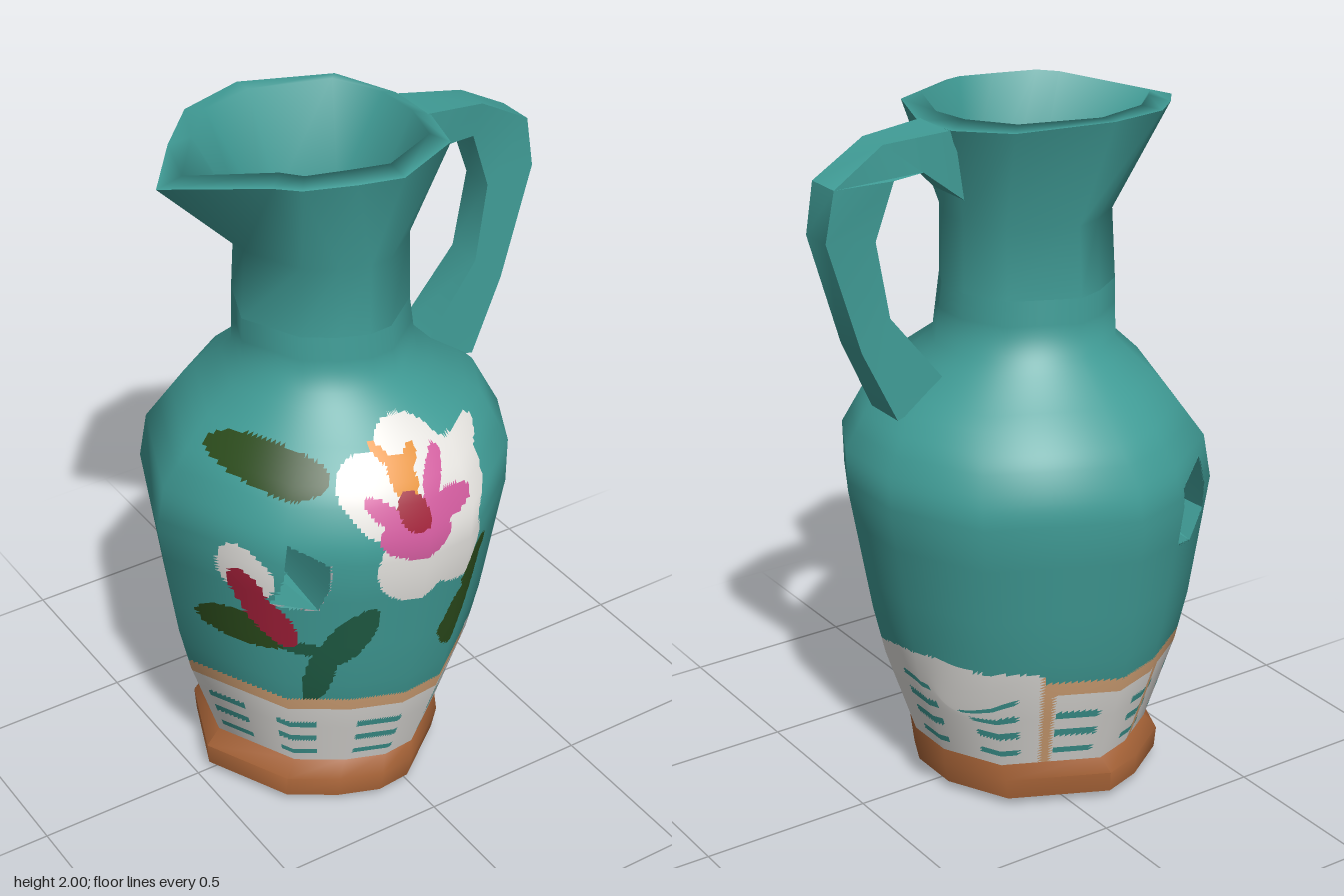
import * as THREE from 'three';
import { toCreasedNormals } from 'three/addons/utils/BufferGeometryUtils.js';

const mat = (name, color) => Object.assign(new THREE.MeshStandardMaterial({ color }), { name });

// Skin closed rings of [x, y, z] points; paint(centre) picks a material index, -1 leaves a gap
function loft(rings, paint) {
  const n = rings[0].length, pos = rings.flat(2), buckets = [];
  const tri = (...ids) => {
    const c = [0, 1, 2].map(k => ids.reduce((s, i) => s + pos[i * 3 + k], 0) / 3);
    const m = paint ? paint(c) : 0;
    if (m >= 0) (buckets[m] ??= []).push(...ids);
  };
  for (let i = 0; i < rings.length - 1; i++) {
    for (let j = 0; j < n; j++) {
      const a = i * n + j, b = i * n + (j + 1) % n;
      tri(a, a + n, b);
      tri(b, a + n, b + n);
    }
  }
  const g = new THREE.BufferGeometry();
  const index = [];
  buckets.forEach((ids, m) => {
    if (paint) g.addGroup(index.length, ids.length, m);
    for (const i of ids) index.push(i);
  });
  g.setAttribute('position', new THREE.Float32BufferAttribute(pos, 3));
  g.setIndex(index);
  g.computeVertexNormals();
  return g;
}

// Body plan at its widest, as [x, z] about the axis
const PLAN = [[.52, .13], [.42, .32], [.15, .53], [0, .545], [-.17, .48], [-.35, .36], [-.52, 0],
  [-.38, -.35], [-.17, -.49], [0, -.545], [.39, -.36], [.52, -.1]];
// Body profile: height, axis x, radius
const PROFILE = [[.13, -.08, .355], [.4, -.08, .445], [.55, -.08, .48], [.92, -.075, .54],
  [1.05, -.06, .53], [1.2, -.04, .43], [1.33, -.06, .265], [1.5, -.07, .252]];

function profileAt(y) {
  let i = 0;
  while (i < PROFILE.length - 2 && y > PROFILE[i + 1][0]) i++;
  const [p, q] = [PROFILE[i], PROFILE[i + 1]];
  const t = THREE.MathUtils.clamp((y - p[0]) / (q[0] - p[0]), 0, 1);
  return [p[1] + (q[1] - p[1]) * t, p[2] + (q[2] - p[2]) * t];
}

// One level of the plan, with each side cut into `cuts` pieces
function planRing(y, cx, r, cuts = 1) {
  const ring = [];
  PLAN.forEach((p, i) => {
    const q = PLAN[(i + 1) % PLAN.length];
    for (let k = 0; k < cuts; k++) {
      const x = p[0] + (q[0] - p[0]) * k / cuts, z = p[1] + (q[1] - p[1]) * k / cuts;
      const az = Math.atan2(z, x);
      // raised fold in the band
      const fold = cuts > 1 ? 1 + .24 * Math.exp(-(((az + .56) / .22) ** 2) - ((y - .41) / .085) ** 2) : 1;
      ring.push([cx + x * r / .54 * fold, y, z * r / .54 * fold]);
    }
  });
  return ring;
}

// Depth of the body wall at x, y on the front (side 1) or back (side -1)
function wallZ(x, y, side) {
  const [cx, r] = profileAt(y), u = (x - cx) * .54 / r;
  const i = PLAN.findIndex((a, k) => {
    const b = PLAN[(k + 1) % PLAN.length];
    return (a[0] - u) * (b[0] - u) <= 0 && (a[1] + b[1]) * side > 0;
  });
  const p = PLAN[i], q = PLAN[(i + 1) % PLAN.length];
  return (p[1] + (q[1] - p[1]) * (u - p[0]) / (q[0] - p[0])) * r / .54;
}

function insidePolygon(poly, x, y) {
  let hit = false;
  poly.forEach(([ax, ay], i) => {
    const [bx, by] = poly[(i + 1) % poly.length];
    if ((ay > y) !== (by > y) && x < ax + (bx - ax) * (y - ay) / (by - ay)) hit = !hit;
  });
  return hit;
}

function insideOval([, cx, cy, rx, ry, tilt], x, y) {
  const c = Math.cos(tilt), s = Math.sin(tilt), dx = x - cx, dy = y - cy;
  return ((dx * c + dy * s) / rx) ** 2 + ((dy * c - dx * s) / ry) ** 2 < 1;
}

const TEAL = 0, WHITE = 1, PEACH = 2, PINK = 3, RED = 4, ORANGE = 5, LEAF = 6, STEM = 7;
// Mouths of the tunnel that runs through the body
const FRONT_HOLE = [[-.4, 1.01], [-.31, .95], [-.31, .87], [-.33, .79], [-.43, .8]];
const BACK_HOLE = [[-.39, 1.01], [-.27, .97], [-.26, .8], [-.36, .76], [-.43, .83]];

// Brush strokes: colour, centre x, y, radii, tilt; uppermost first
const FLOWER_HEART = [
  [RED, -.09, 1.08, .04, .05, 0], [ORANGE, -.09, 1.16, .035, .05, 0],
  [ORANGE, -.12, 1.21, .035, .014, 2.2], [ORANGE, -.06, 1.2, .04, .016, .8],
  [PINK, -.09, 1.02, .1, .07, 0], [PINK, -.01, 1.15, .075, .027, 1],
  [PINK, .01, 1.08, .085, .033, .15], [PINK, -.16, 1.08, .06, .028, 2.4],
];
const PETALS = [2.55, 1.6, .55, -.95, -2].map(a =>
  [WHITE, -.04 + .125 * Math.cos(a), 1.04 + .125 * Math.sin(a), .12, .105, a]);
const FOLIAGE = [
  [WHITE, -.02, 1.06, .17, .18, 0], [WHITE, .12, 1.16, .095, .045, .3],
  [LEAF, -.36, 1.17, .1, .055, .1], [LEAF, .1, .71, .15, .065, 1.1],
  [LEAF, .14, .82, .08, .045, .3], [LEAF, .06, .64, .06, .05, 0],
  [RED, -.46, .81, .08, .025, -1.3], [RED, -.42, .73, .09, .035, -1.1],
  [WHITE, -.47, .88, .085, .04, 1.7], [STEM, -.31, .54, .12, .035, 1.5],
  [STEM, -.25, .68, .12, .05, 1.1], [STEM, -.35, .64, .06, .022, -.3], [LEAF, -.46, .67, .065, .06, 0],
];
const STROKES = [...FLOWER_HEART, ...PETALS, ...FOLIAGE];

function paintBody([x, y, z]) {
  const az = THREE.MathUtils.radToDeg(Math.atan2(z, x + .08));
  if (insidePolygon(z > 0 ? FRONT_HOLE : BACK_HOLE, x, y)) return -1;
  // patterned band, taller and without a border on one side
  const tall = az > -62 && az < 45;
  const top = tall ? .47 + .03 * Math.sin(-az / 18) : .39;
  if (y < top) {
    if (Math.abs(az + 63) < 2.5 || Math.abs(az + 115) < 2.5) return PEACH;
    const column = THREE.MathUtils.euclideanModulo(az - 97 + 17.3, 34.6) - 17.3;
    const row = Math.abs(THREE.MathUtils.euclideanModulo(y - .18 + .033, .067) - .033);
    const rows = y > .15 && y < (tall ? .42 : .35);
    return rows && Math.abs(column) < 9 && row < .011 ? TEAL : WHITE;
  }
  if (!tall && y < .435) return PEACH;
  const stroke = z > 0 && STROKES.find(s => insideOval(s, x, y));
  return stroke ? stroke[0] : TEAL;
}

function bodyGeometry() {
  const rings = [];
  for (let i = 0; i <= 137; i++) {
    const y = .13 + i * .01;
    rings.push(planRing(y, ...profileAt(y), 20));
  }
  const g = loft(rings, paintBody);
  // rounded shading across the broad facets
  const p = g.attributes.position, v = new THREE.Vector3();
  for (let i = 0; i < p.count; i++) {
    const y = p.getY(i), lo = Math.max(y - .1, .13), hi = Math.min(y + .1, 1.5);
    const slope = (profileAt(hi)[1] - profileAt(lo)[1]) / (hi - lo);
    v.set(p.getX(i) - profileAt(y)[0], 0, p.getZ(i)).normalize().setY(-slope).normalize();
    g.attributes.normal.setXYZ(i, v.x, v.y, v.z);
  }
  return g;
}

// Lip with its pouring spout towards -x, and its inner edge
const RIM = [[.25, 1.97, .05], [.19, 1.98, .23], [-.02, 1.98, .33], [-.14, 1.98, .3], [-.28, 1.985, .26],
  [-.33, 1.98, .2], [-.54, 1.94, -.02], [-.42, 1.97, -.17], [-.3, 1.99, -.29], [-.11, 2, -.34],
  [.15, 1.99, -.26], [.24, 1.975, -.1]];
const LIP = RIM.map(([x, y, z]) => [x * .84 - .012, Math.min(2, y + .02), z * .84]);

// Handle sections: outer x, y, inner x, y, half width, centre z
const HANDLE = [[.23, 1.975, .2, 1.78, .075, -.02], [.42, 1.955, .28, 1.862, .05, 0],
  [.58, 1.865, .4, 1.86, .055, -.015], [.6, 1.72, .45, 1.7, .05, -.005], [.5, 1.4, .41, 1.48, .055, 0],
  [.4, 1.19, .22, 1.24, .067, 0]];

export function createModel() {
  const teal = mat('teal glaze', 0x409c96);
  teal.side = THREE.DoubleSide;
  const paints = [teal, mat('white paint', 0xe4e2de), mat('peach paint', 0xdaa87a), mat('pink paint', 0xcf5a9c),
    mat('red paint', 0xa01f38), mat('orange paint', 0xe08c1e), mat('leaf green', 0x2c4c1c), mat('stem green', 0x1f5c44)];
  const clay = mat('brown clay', 0xa86438);

  const jug = new THREE.Group();
  jug.name = 'jug';
  const add = (name, geometry, material) => {
    const mesh = new THREE.Mesh(geometry, material);
    mesh.name = name;
    jug.add(mesh);
  };

  // foot with a slightly hollow underside
  const foot = [[.05, -.1, .001], [0, -.1, .31], [.025, -.105, .37], [.09, -.1, .38], [.14, -.08, .356]];
  add('foot', toCreasedNormals(loft(foot.map(f => planRing(...f))), .9), clay);
  add('body', bodyGeometry(), paints);

  const tunnel = [[FRONT_HOLE, 1], [BACK_HOLE, -1]].map(([hole, side]) =>
    hole.map(([x, y]) => [x, y, wallZ(x, y, side)]));
  add('tunnel', toCreasedNormals(loft(tunnel), .5), teal);

  add('neck', loft([planRing(1.5, -.07, .252), planRing(1.7, -.065, .245), RIM]), teal);
  // rolled lip and the inside of the neck down to its floor
  add('throat', loft([RIM, LIP, planRing(1.7, -.07, .205), planRing(1.42, -.07, .2), planRing(1.4, -.07, .001)]), teal);

  const sections = HANDLE.map(([ox, oy, ix, iy, w, c]) =>
    [[ox, oy, c + w], [ox, oy, c - w], [ix, iy, c - w], [ix, iy, c + w]]);
  add('handle', toCreasedNormals(loft(sections), .9), teal);
  return jug;
}
